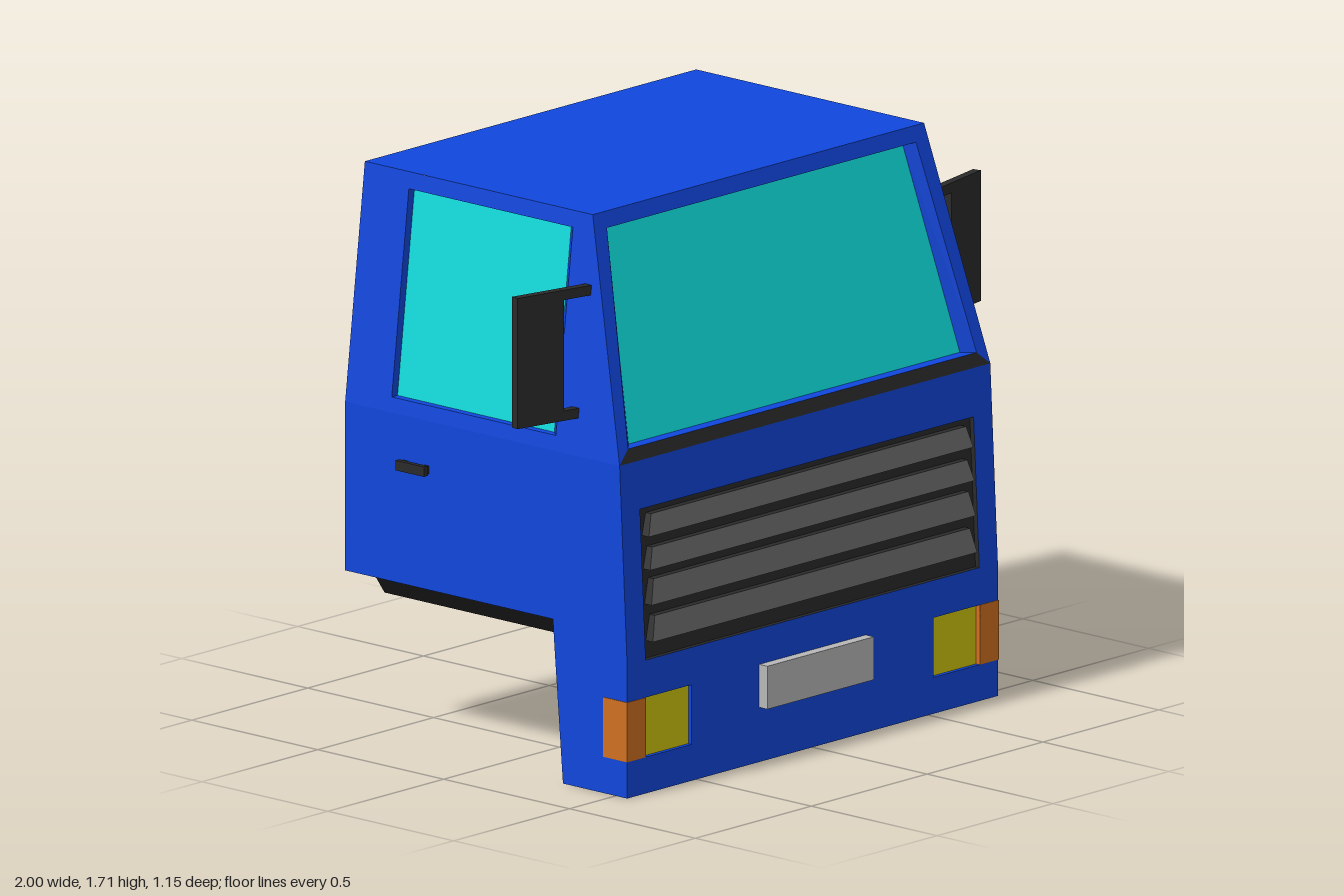
import * as THREE from 'three';

const BLUE = 0x1046dc, GLASS = 0x10dcdc, DARK = 0x2a2a2a, BLACK = 0x1e1e1e;
const YELLOW = 0xd0c610, ORANGE = 0xd07020, GREY = 0x6c6c6c, PLATE = 0xb8b8b8;

const material = (color) => new THREE.MeshStandardMaterial({ color, flatShading: true });

// Mesh from four-cornered faces, corners anticlockwise seen from outside
function quadMesh(name, color, quads) {
  const pos = [];
  for (const [a, b, c, d] of quads) pos.push(...a, ...b, ...c, ...a, ...c, ...d);
  const geometry = new THREE.BufferGeometry();
  geometry.setAttribute('position', new THREE.Float32BufferAttribute(pos, 3));
  geometry.computeVertexNormals();
  const mesh = new THREE.Mesh(geometry, material(color));
  mesh.name = name;
  return mesh;
}

function boxMesh(name, color, [x0, x1], [y0, y1], [z0, z1]) {
  const mesh = new THREE.Mesh(new THREE.BoxGeometry(x1 - x0, y1 - y0, z1 - z0), material(color));
  mesh.position.set((x0 + x1) / 2, (y0 + y1) / 2, (z0 + z1) / 2);
  mesh.name = name;
  return mesh;
}

const ring = (a, b) => a.map((p, i) => [p, a[(i + 1) % 4], b[(i + 1) % 4], b[i]]);

// Frame around an opening, the walls of the recess, and the pane at its bottom
const recess = (outer, hole, back) => ({ frame: ring(outer, hole), walls: ring(hole, back), pane: back });

// Face on the opposite side of the cab, with its corners in outward order
const flip = (quad) => quad.map(([x, y, z]) => [-x, y, z]).reverse();

// Surfaces of the cab: front z and side x at height y
const frontZ = (y) => (y < 0.4 ? 0.545 : y < 1 ? 0.545 - 0.05 * (y - 0.4) : 0.515 - 0.2606 * (y - 1));
const sideX = (y) => (y < 1 ? 0.8 : 0.8 - 0.1197 * (y - 1));

// Symmetrical face on the front: half widths w0, w1 at heights y0, y1
const frontQuad = (w0, y0, w1, y1, dz = 0) => [
  [-w0, y0, frontZ(y0) + dz], [w0, y0, frontZ(y0) + dz],
  [w1, y1, frontZ(y1) + dz], [-w1, y1, frontZ(y1) + dz],
];
const rearQuad = (w0, y0, w1, y1, z) => [[w0, y0, z], [-w0, y0, z], [-w1, y1, z], [w1, y1, z]];
// Face on the left side from [z, y] corners
const sideQuad = (corners, dx = 0) => corners.map(([z, y]) => [sideX(y) + dx, y, z]);

export function createModel() {
  const model = new THREE.Group();
  model.name = 'truckCab';
  const B = -0.575, T = 1.71, F = 0.33;
  const body = [];

  // Windscreen with a dark sill
  const screen = recess(frontQuad(0.8, 1, 0.715, T), frontQuad(0.752, 1.04, 0.667, 1.663),
    frontQuad(0.715, 1.042, 0.642, 1.655, -0.032));
  body.push(...screen.frame.slice(1), ...screen.walls);
  model.add(quadMesh('windscreen', GLASS, [screen.pane]));
  model.add(quadMesh('windscreenSill', DARK, [screen.frame[0]]));

  // Grille recess and its four slanted slats
  const grille = recess(frontQuad(0.8, 0.4, 0.8, 1), frontQuad(0.72, 0.403, 0.72, 0.855),
    frontQuad(0.72, 0.403, 0.72, 0.855, -0.015));
  body.push(...grille.frame);
  model.add(quadMesh('grillePanel', DARK, [...grille.walls, grille.pane]));
  for (const [y0, y1] of [[0.455, 0.53], [0.565, 0.64], [0.67, 0.735], [0.77, 0.835]]) {
    const face = frontQuad(0.7, y0, 0.68, y1);
    face.forEach((p, i) => { p[2] += i < 2 ? 0.013 : 0.006; });
    model.add(quadMesh('grilleSlat', GREY, [face]));
    model.add(quadMesh('grilleSlatEdges', DARK, ring(frontQuad(0.7, y0, 0.68, y1, -0.015), face)));
  }

  // Rear wall, rear window and roof
  const rear = recess(rearQuad(0.8, 1, 0.715, T, B), rearQuad(0.375, 1.31, 0.375, 1.56, B),
    rearQuad(0.375, 1.31, 0.375, 1.56, B + 0.015));
  body.push(...rear.frame, ...rear.walls, rearQuad(0.8, 0.49, 0.8, 1, B));
  body.push([[-0.715, T, F], [0.715, T, F], [0.715, T, B], [-0.715, T, B]]);
  model.add(quadMesh('rearWindow', GLASS, [rear.pane]));

  // Bumper front between the lamps, and its sloping back
  body.push(frontQuad(0.52, 0, 0.52, 0.4));
  body.push([[0.8, 0, 0.29], [-0.8, 0, 0.29], [-0.8, 0.49, 0.25], [0.8, 0.49, 0.25]]);

  // Door window, lower side and headlamp recess, on both sides
  const door = recess(
    sideQuad([[0.515, 1], [B, 1], [B, T], [F, T]]),
    sideQuad([[0.257, 1.045], [-0.395, 1.045], [-0.395, 1.66], [0.257, 1.66]]),
    sideQuad([[0.228, 1.045], [-0.395, 1.045], [-0.395, 1.655], [0.228, 1.655]], -0.025));
  const lampRect = (x0, x1, y0, y1, z) => [[x0, y0, z], [x1, y0, z], [x1, y1, z], [x0, y1, z]];
  const lamp = recess(lampRect(0.52, 0.8, 0, 0.4, 0.545), lampRect(0.522, 0.72, 0.11, 0.29, 0.545),
    lampRect(0.522, 0.72, 0.11, 0.29, 0.532));
  const half = [
    ...door.frame, ...door.walls, ...lamp.frame, ...lamp.walls,
    sideQuad([[0.545, 0], [0.29, 0], [0.257, 0.4], [0.545, 0.4]]),
    sideQuad([[0.545, 0.4], [0.257, 0.4], [0.25, 0.49], [0.515, 1]]),
    sideQuad([[0.25, 0.49], [B, 0.49], [B, 1], [0.515, 1]]),
  ];
  body.push(...half, ...half.map(flip));
  model.add(quadMesh('cabBody', BLUE, body));

  for (const s of [1, -1]) {
    const side = s > 0 ? 'left' : 'right';
    const own = (quad) => (s > 0 ? quad : flip(quad));
    const span = (a, b) => (s > 0 ? [a, b] : [-b, -a]);
    model.add(quadMesh(side + 'DoorWindow', GLASS, [own(door.pane)]));
    model.add(quadMesh(side + 'Headlamp', YELLOW, [own(lamp.pane)]));
    model.add(boxMesh(side + 'Indicator', ORANGE, span(0.72, 0.802), [0.11, 0.29], [0.45, 0.547]));

    // Door handle: grip on two short posts
    model.add(boxMesh(side + 'DoorHandle', DARK, span(0.812, 0.828), [0.838, 0.868], [-0.35, -0.237]));
    for (const z of [-0.345, -0.262])
      model.add(boxMesh(side + 'HandlePost', DARK, span(0.79, 0.814), [0.841, 0.865], [z, z + 0.02]));

    // Mirror on two arms, swept backwards
    const mirror = new THREE.Group();
    mirror.name = side + 'Mirror';
    mirror.add(boxMesh('mirrorPlate', DARK, span(0.085, 0.253), [1.11, 1.505], [-0.013, 0.013]));
    mirror.add(boxMesh('upperArm', DARK, span(-0.02, 0.09), [1.475, 1.505], [-0.013, 0.013]));
    mirror.add(boxMesh('lowerArm', DARK, span(-0.01, 0.09), [1.11, 1.14], [-0.013, 0.013]));
    mirror.position.set(s * 0.75, 0, 0.333);
    mirror.rotation.y = s * 0.21;
    model.add(mirror);
  }

  // Number plate blank
  model.add(boxMesh('frontPlate', PLATE, [-0.23, 0.23], [0.165, 0.295], [0.54, 0.577]));

  // Underside: bumper bottom, and the cab floor with sloping edges
  const floor = [[-0.8, 0.49], [-0.7, 0.49], [-0.63, 0.39], [0.63, 0.39], [0.7, 0.49], [0.8, 0.49]];
  const under = [[[-0.8, 0, 0.29], [0.8, 0, 0.29], [0.8, 0, 0.545], [-0.8, 0, 0.545]]];
  for (let i = 0; i < floor.length - 1; i++) {
    const [a, b] = [floor[i], floor[i + 1]];
    under.push([[...a, B], [...b, B], [...b, 0.252], [...a, 0.252]]);
  }
  under.push(rearQuad(0.63, 0.39, 0.7, 0.49, B));
  model.add(quadMesh('underside', BLACK, under));

  return model;
}
